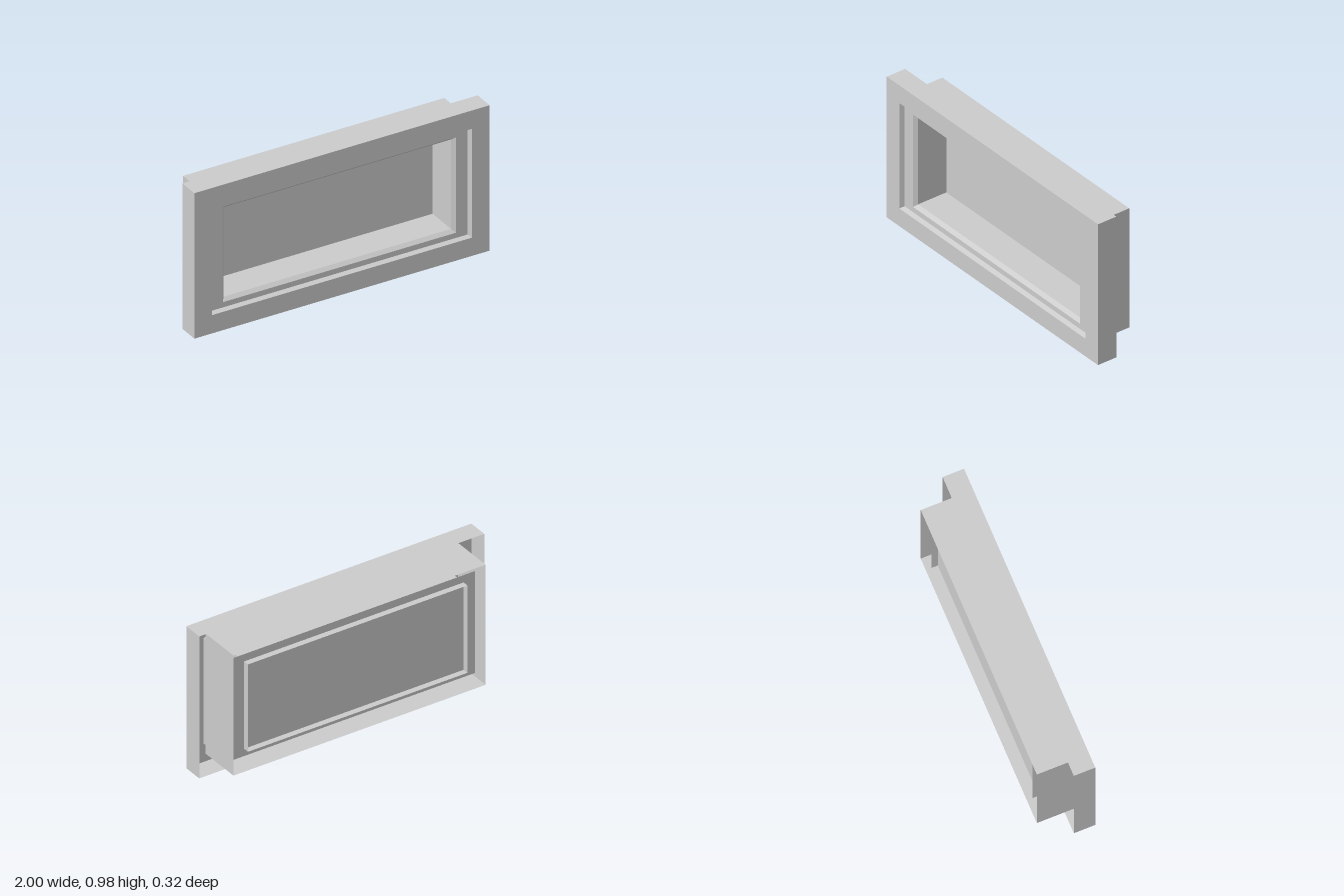
import * as THREE from 'three';

const MID_Y = 0.4875;
const material = new THREE.MeshStandardMaterial({ color: 0xcccccc, flatShading: true, side: THREE.DoubleSide });

// Skins a run of centred rectangles [halfWidth, halfHeight, z] with thin flat sheets
function rectangularShell(name, sections) {
  const corner = ([w, h, z], i) => [
    [w, h, z], [-w, h, z], [-w, -h, z], [w, -h, z],
  ][i % 4];
  const positions = [];
  for (let s = 0; s < sections.length - 1; s++) {
    for (let i = 0; i < 4; i++) {
      const a = corner(sections[s], i), b = corner(sections[s], i + 1);
      const c = corner(sections[s + 1], i + 1), d = corner(sections[s + 1], i);
      positions.push(...a, ...b, ...c, ...a, ...c, ...d);
    }
  }
  const geometry = new THREE.BufferGeometry();
  geometry.setAttribute('position', new THREE.Float32BufferAttribute(positions, 3));
  geometry.computeVertexNormals();
  const mesh = new THREE.Mesh(geometry, material);
  mesh.name = name;
  mesh.position.y = MID_Y;
  return mesh;
}

export function createModel() {
  const group = new THREE.Group();
  group.name = 'recessedWindowBox';

  // Hollow front frame, open at the back: side walls, face, bevelled opening
  group.add(rectangularShell('frontFrame', [
    [1, MID_Y, 0.025], [1, MID_Y, 0.16], [0.88, 0.365, 0.16], [0.87, 0.355, 0.13],
  ]));

  // Rear casing, open at the back; its front ledge surrounds the bevelled inner opening,
  // whose walls run back through the panel
  group.add(rectangularShell('rearCasing', [
    [0.885, 0.4125, -0.16], [0.885, 0.4125, 0.13], [0.79, 0.32, 0.13],
  ]));
  group.add(rectangularShell('innerLining', [
    [0.79, 0.32, 0.13], [0.77, 0.3, 0.107], [0.77, 0.3, -0.14],
  ]));

  // Thin panel closing the opening, wider than the lining
  const panel = new THREE.Mesh(new THREE.PlaneGeometry(1.7, 0.7), material);
  panel.name = 'backPanel';
  panel.position.set(0, MID_Y, -0.1);
  group.add(panel);

  return group;
}
